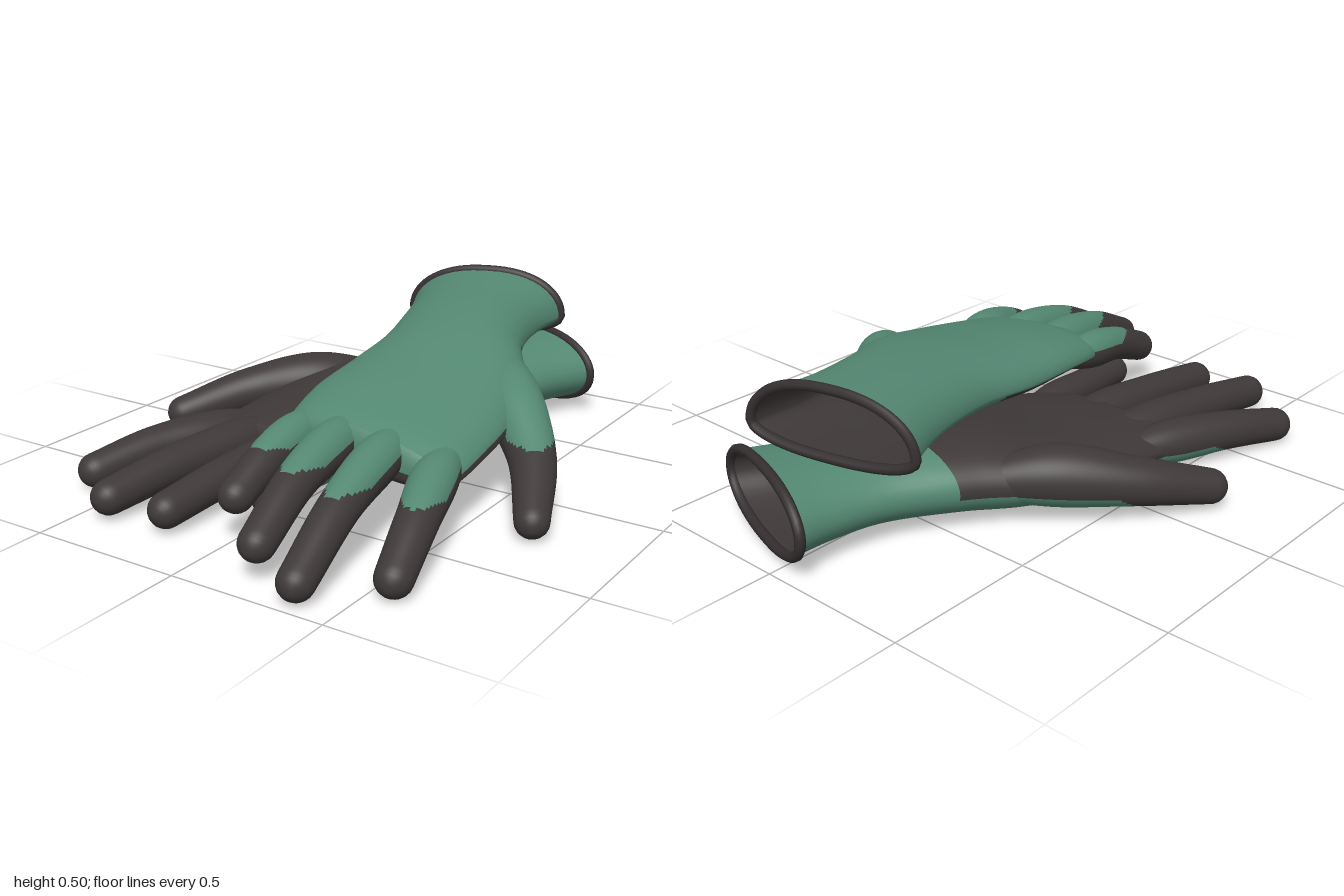
import * as THREE from 'three';

const V = (x, y, z) => new THREE.Vector3(x, y, z);
const knit = new THREE.MeshStandardMaterial({ color: 0x548873 });
knit.name = 'green knit';
const coating = new THREE.MeshStandardMaterial({ color: 0x3e3938 });
coating.name = 'dark coating';
const trim = new THREE.MeshStandardMaterial({ color: 0x352f30 });
trim.name = 'dark trim';

const SIDES = 48;

// Point on a ring: centre c, sideways vector s, upward vector u, downward vector d
function ringPoint(r, j) {
  const a = (j / SIDES) * Math.PI * 2, co = Math.cos(a), si = Math.sin(a);
  const w = Math.sign(co) * Math.pow(Math.abs(co), r.square);
  return r.c.clone().addScaledVector(r.s, w).addScaledVector(si > 0 ? r.u : r.d, Math.abs(si));
}

// Skin a list of rings; isGreen(t, sin, cos) picks the colour of every quad
function loft(name, rings, isGreen) {
  const pos = [], green = [], dark = [];
  rings.forEach(r => {
    for (let j = 0; j < SIDES; j++) pos.push(...ringPoint(r, j).toArray());
  });
  for (let i = 0; i < rings.length - 1; i++) {
    for (let j = 0; j < SIDES; j++) {
      const k = (j + 1) % SIDES, a = i * SIDES + j, b = i * SIDES + k;
      const t = (rings[i].t + rings[i + 1].t) / 2, angle = ((j + 0.5) / SIDES) * Math.PI * 2;
      const list = isGreen(t, Math.sin(angle), Math.cos(angle)) ? green : dark;
      list.push(a, b, b + SIDES, a, b + SIDES, a + SIDES);
    }
  }
  const g = new THREE.BufferGeometry();
  g.setAttribute('position', new THREE.Float32BufferAttribute(pos, 3));
  g.setIndex([...green, ...dark]);
  g.addGroup(0, green.length, 0);
  g.addGroup(green.length, dark.length, 1);
  g.computeVertexNormals();
  const mesh = new THREE.Mesh(g, [knit, coating]);
  mesh.name = name;
  return mesh;
}

// Rings of the hand from stations [left xyz, right xyz, height above, height below]
const HAND_STEPS = 96;
function handRings(stations) {
  const left = new THREE.CatmullRomCurve3(stations.map(q => V(q[0], q[1], q[2])));
  const right = new THREE.CatmullRomCurve3(stations.map(q => V(q[3], q[4], q[5])));
  const thick = new THREE.CatmullRomCurve3(stations.map((q, i) => V(q[6], q[7], i * 0.1)));
  return Array.from({ length: HAND_STEPS + 1 }, (_, i) => {
    const t = i / HAND_STEPS, L = left.getPoint(t), R = right.getPoint(t), h = thick.getPoint(t);
    return {
      t, square: 0.85, c: L.clone().add(R).multiplyScalar(0.5), s: R.sub(L).multiplyScalar(0.5),
      u: V(0, h.x, 0), d: V(0, -h.y, 0),
    };
  });
}

const scaled = (r, k, side = k, dz = 0) => ({
  ...r, c: r.c.clone().add(V(0, 0, dz)),
  s: r.s.clone().multiplyScalar(side), u: r.u.clone().multiplyScalar(k), d: r.d.clone().multiplyScalar(k),
});

// Finger along points [x, y, z, radius], rooted inside the hand, with a round tip
function finger(name, { path, green, edge = 0.25 }, back) {
  const curve = new THREE.CatmullRomCurve3(path.map(p => V(p[0], p[1], p[2])));
  const radius = new THREE.CatmullRomCurve3(path.map((p, i) => V(p[3], i * 0.1, 0)));
  const ring = (t, c, T, r) => {
    const s = V(0, 1, 0).cross(T).normalize(), u = T.clone().cross(s);
    return { t, square: 1, c, s: s.multiplyScalar(r), u: u.clone().multiplyScalar(r), d: u.multiplyScalar(-r) };
  };
  const rings = [];
  for (let i = 0; i <= 48; i++) {
    const t = i / 48;
    rings.push(ring(t, curve.getPoint(t), curve.getTangent(t), radius.getPoint(t).x));
  }
  const end = curve.getPoint(1), T = curve.getTangent(1), r1 = path[path.length - 1][3];
  for (let i = 1; i <= 6; i++) {
    const a = (i / 6) * Math.PI / 2;
    rings.push(ring(1, end.clone().addScaledVector(T, r1 * Math.sin(a)), T, r1 * Math.max(Math.cos(a), 0.001)));
  }
  return loft(name, rings, (t, si) => si * back > edge && t < green - 0.2 * (1 - si * back));
}

// back = 1 when the back of the hand faces up, -1 when the palm does
function glove(name, { back, stations, palmStart, fingers }) {
  const group = new THREE.Group();
  group.name = name;
  const rings = handRings(stations), last = rings[HAND_STEPS];
  const closed = [...rings, scaled(last, 0.75, 0.97, 0.012), scaled(last, 0.4, 0.9, 0.018), scaled(last, 0.001, 0.001, 0.018)];
  // The palm coating reaches further up the wrist on the thumb side
  group.add(loft('hand', closed, (t, si, co) =>
    (si - 0.15 * co) * back > 0 || t < palmStart + 0.2 * Math.max(0, -back * co) ** 2));

  // Inner lining of the open cuff, facing inward
  const inner = rings.slice(0, 37).map(r => scaled(r, 0.93, -0.95));
  inner.push(scaled(inner[36], 0.001));
  group.add(loft('cuffLining', inner, () => false));

  // Rolled hem around the cuff opening
  const hem = new THREE.CatmullRomCurve3(
    Array.from({ length: SIDES }, (_, j) => ringPoint(rings[0], j)), true);
  const rim = new THREE.Mesh(new THREE.TubeGeometry(hem, 72, 0.016, 8, true), trim);
  rim.name = 'cuffHem';
  group.add(rim);

  for (const key in fingers) group.add(finger(key, fingers[key], back));
  return group;
}

const upper = {
  back: 1,
  palmStart: 0.29,
  stations: [
    [-0.28, 0.33, -0.69, 0.25, 0.34, -0.83, 0.155, 0.06],
    [-0.21, 0.33, -0.54, 0.25, 0.34, -0.66, 0.14, 0.07],
    [-0.16, 0.32, -0.38, 0.31, 0.33, -0.42, 0.13, 0.068],
    [-0.12, 0.30, -0.20, 0.43, 0.28, -0.22, 0.135, 0.072],
    [-0.115, 0.28, 0, 0.50, 0.23, 0, 0.125, 0.068],
    [-0.10, 0.27, 0.2, 0.52, 0.2, 0.2, 0.108, 0.055],
    [-0.07, 0.25, 0.35, 0.525, 0.18, 0.35, 0.093, 0.05],
    [-0.05, 0.24, 0.41, 0.515, 0.17, 0.41, 0.08, 0.045],
  ],
  fingers: {
    littleFinger: { green: 0.74, path: [[0, 0.25, 0.22, 0.02], [0, 0.235, 0.42, 0.062], [0.01, 0.21, 0.58, 0.058], [0.02, 0.15, 0.74, 0.053]] },
    ringFinger: { green: 0.71, path: [[0.12, 0.25, 0.2, 0.02], [0.14, 0.237, 0.42, 0.067], [0.175, 0.2, 0.67, 0.06], [0.21, 0.11, 0.89, 0.054]] },
    middleFinger: { green: 0.71, path: [[0.28, 0.24, 0.2, 0.02], [0.3, 0.225, 0.42, 0.068], [0.34, 0.175, 0.69, 0.061], [0.378, 0.065, 0.945, 0.054]] },
    indexFinger: { green: 0.7, path: [[0.42, 0.21, 0.18, 0.02], [0.47, 0.19, 0.4, 0.068], [0.53, 0.145, 0.6, 0.062], [0.572, 0.06, 0.78, 0.055]] },
    thumb: { green: 0.71, edge: 0.35, path: [[0.22, 0.31, -0.4, 0.05], [0.43, 0.258, -0.13, 0.092], [0.6, 0.155, 0.06, 0.073], [0.705, 0.06, 0.26, 0.053]] },
  },
};

const lower = {
  back: -1,
  palmStart: 0.355,
  stations: [
    [-0.12, 0.145, -0.98, 0.38, 0.14, -0.82, 0.122, 0.118],
    [-0.12, 0.14, -0.85, 0.32, 0.14, -0.70, 0.115, 0.115],
    [-0.16, 0.14, -0.68, 0.27, 0.14, -0.56, 0.11, 0.112],
    [-0.29, 0.14, -0.47, 0.22, 0.13, -0.42, 0.115, 0.114],
    [-0.42, 0.13, -0.29, 0.19, 0.12, -0.25, 0.115, 0.114],
    [-0.475, 0.11, -0.05, 0.16, 0.12, -0.05, 0.088, 0.112],
    [-0.485, 0.1, 0.1, 0.12, 0.11, 0.1, 0.078, 0.1],
    [-0.495, 0.09, 0.2, 0.08, 0.1, 0.2, 0.072, 0.075],
    [-0.485, 0.09, 0.26, 0.06, 0.09, 0.26, 0.065, 0.06],
  ],
  fingers: {
    littleFinger: { green: 0.74, path: [[0.01, 0.1, 0.06, 0.02], [0.01, 0.1, 0.24, 0.06], [0.015, 0.1, 0.42, 0.056], [0.025, 0.095, 0.6, 0.052]] },
    ringFinger: { green: 0.71, path: [[-0.145, 0.1, 0.06, 0.02], [-0.16, 0.1, 0.27, 0.066], [-0.183, 0.095, 0.53, 0.06], [-0.2, 0.07, 0.79, 0.055]] },
    middleFinger: { green: 0.71, path: [[-0.29, 0.1, 0.06, 0.02], [-0.325, 0.1, 0.27, 0.068], [-0.37, 0.095, 0.55, 0.062], [-0.405, 0.07, 0.81, 0.055]] },
    indexFinger: { green: 0.7, path: [[-0.38, 0.1, 0.04, 0.02], [-0.45, 0.095, 0.25, 0.069], [-0.54, 0.09, 0.46, 0.063], [-0.605, 0.06, 0.66, 0.055]] },
    thumb: { green: 0.71, edge: 0.35, path: [[-0.22, 0.14, -0.42, 0.05], [-0.395, 0.15, -0.235, 0.095], [-0.57, 0.125, -0.07, 0.075], [-0.703, 0.075, 0.13, 0.055]] },
  },
};

export function createModel() {
  const model = new THREE.Group();
  model.name = 'pairOfWorkGloves';
  model.add(glove('upperGlove', upper), glove('lowerGlove', lower));
  return model;
}
